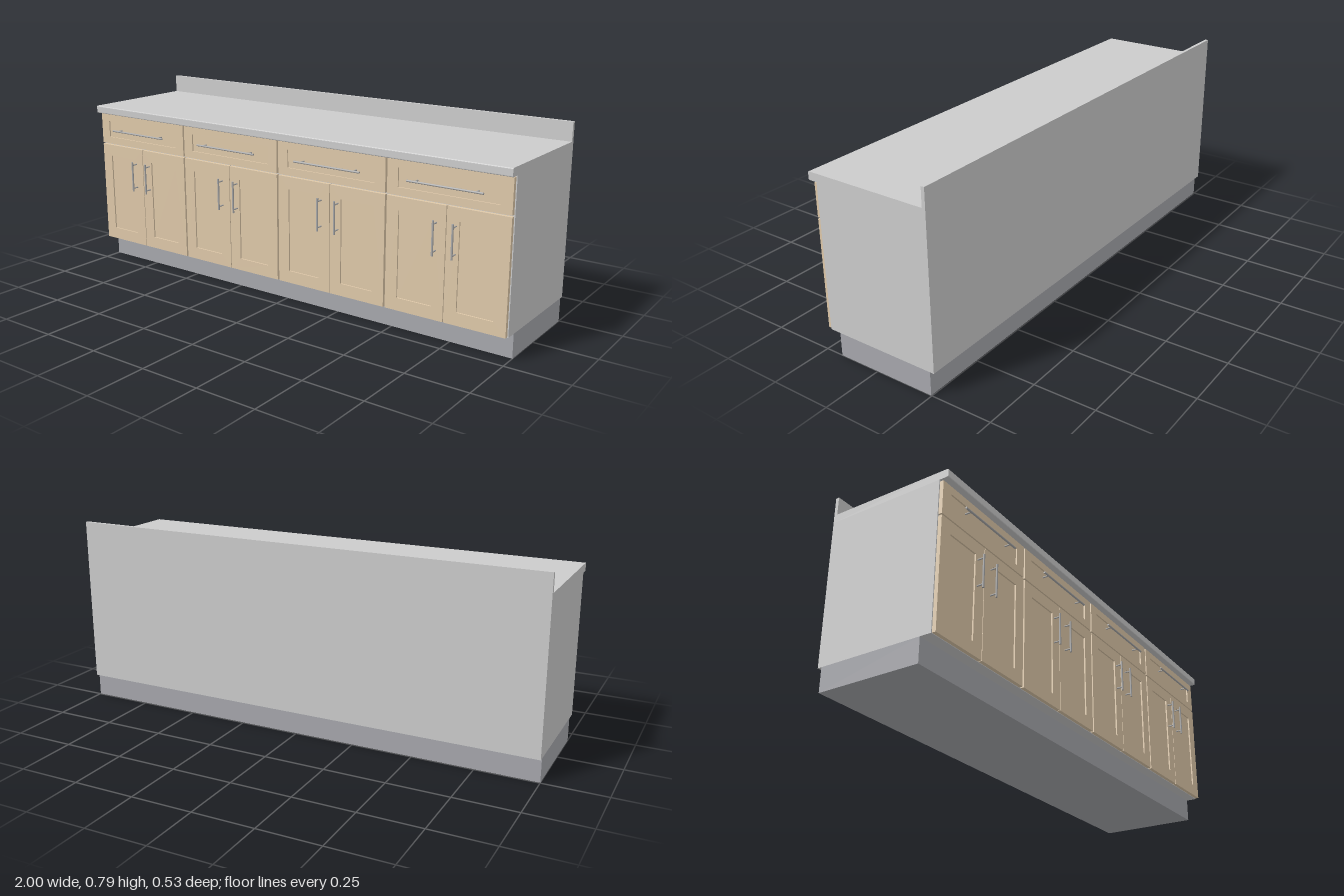
import * as THREE from 'three';

const grey = new THREE.MeshStandardMaterial({ color: 0xcccccc });
const stone = new THREE.MeshStandardMaterial({ color: 0xeeeeec });
const wood = new THREE.MeshStandardMaterial({ color: 0xdec8a9 });
const metal = new THREE.MeshStandardMaterial({ color: 0xaaaaaa });
const plinth = new THREE.MeshStandardMaterial({ color: 0xa6a7ac });

const FACE = 0.22;   // front plane of the carcass
const THICK = 0.015; // thickness of doors and drawer fronts

// Box given by its extents
function box(name, mat, x0, x1, y0, y1, z0, z1) {
  const mesh = new THREE.Mesh(new THREE.BoxGeometry(x1 - x0, y1 - y0, z1 - z0), mat);
  mesh.position.set((x0 + x1) / 2, (y0 + y1) / 2, (z0 + z1) / 2);
  mesh.name = name;
  return mesh;
}

// Rectangle outline
function rect(PathType, x0, x1, y0, y1) {
  return new PathType([[x0, y0], [x1, y0], [x1, y1], [x0, y1]].map(p => new THREE.Vector2(...p)));
}

// Framed front with a recessed centre panel
function framedFront(name, x0, x1, y0, y1, insetX, insetY) {
  const front = new THREE.Group();
  front.name = name;
  const shape = rect(THREE.Shape, x0, x1, y0, y1);
  const inner = [x0 + insetX, x1 - insetX, y0 + insetY, y1 - insetY];
  shape.holes.push(rect(THREE.Path, ...inner));
  const frame = new THREE.Mesh(
    new THREE.ExtrudeGeometry(shape, { depth: THICK, bevelEnabled: false }), wood);
  frame.position.z = FACE;
  frame.name = 'frame';
  front.add(frame, box('recessedPanel', wood, ...inner, FACE, FACE + THICK - 0.006));
  return front;
}

// Bar pull on two posts, upright until rotated
function barHandle(name, length, postSpan, radius) {
  const handle = new THREE.Group();
  handle.name = name;
  const bar = new THREE.Mesh(new THREE.CylinderGeometry(radius, radius, length, 16), metal);
  bar.position.z = 0.026;
  bar.name = 'bar';
  handle.add(bar);
  for (const s of [-1, 1]) {
    const post = new THREE.Mesh(new THREE.CylinderGeometry(0.003, 0.003, 0.026, 12), metal);
    post.rotation.x = Math.PI / 2;
    post.position.set(0, s * postSpan / 2, 0.013);
    post.name = 'post';
    handle.add(post);
  }
  return handle;
}

// Worktop with eased front edges, profile drawn in z and y
function worktop() {
  const r = 0.005, zb = -0.264, zf = 0.257, y0 = 0.678, y1 = 0.71;
  const s = new THREE.Shape();
  s.moveTo(zb, y0);
  s.lineTo(zf - r, y0);
  s.quadraticCurveTo(zf, y0, zf, y0 + r);
  s.lineTo(zf, y1 - r);
  s.quadraticCurveTo(zf, y1, zf - r, y1);
  s.lineTo(zb, y1);
  const geo = new THREE.ExtrudeGeometry(s, { depth: 2, bevelEnabled: false, curveSegments: 5 });
  geo.rotateY(-Math.PI / 2); // profile x becomes z
  geo.translate(1, 0, 0);
  const mesh = new THREE.Mesh(geo, stone);
  mesh.name = 'worktop';
  return mesh;
}

// One cabinet bay: a drawer above a pair of doors
function bay(cx) {
  const group = new THREE.Group();
  group.name = 'cabinetBay';
  group.add(framedFront('drawerFront', cx - 0.246, cx + 0.246, 0.541, 0.673, 0.045, 0.03));

  const pull = barHandle('drawerHandle', 0.3, 0.24, 0.004);
  pull.rotation.z = Math.PI / 2;
  pull.position.set(cx, 0.608, FACE + THICK);
  group.add(pull);

  for (const s of [-1, 1]) {
    const a = cx + s * 0.0015, b = cx + s * 0.246;
    group.add(framedFront('door', Math.min(a, b), Math.max(a, b), 0.097, 0.535, 0.05, 0.05));
    const handle = barHandle('doorHandle', 0.132, 0.104, 0.004);
    handle.position.set(cx + s * 0.039, 0.415, FACE + THICK);
    group.add(handle);
  }
  return group;
}

export function createModel() {
  const model = new THREE.Group();
  model.name = 'kitchenCounter';
  model.add(
    box('toeKick', plinth, -1, 1, 0, 0.095, -0.247, 0.175),
    box('carcass', grey, -1, 1, 0.095, 0.678, -0.264, FACE),
    worktop(),
    box('backsplash', stone, -1, 1, 0.71, 0.785, -0.264, -0.25),
  );
  for (let i = 0; i < 4; i++) model.add(bay(-0.75 + i * 0.5));
  return model;
}
